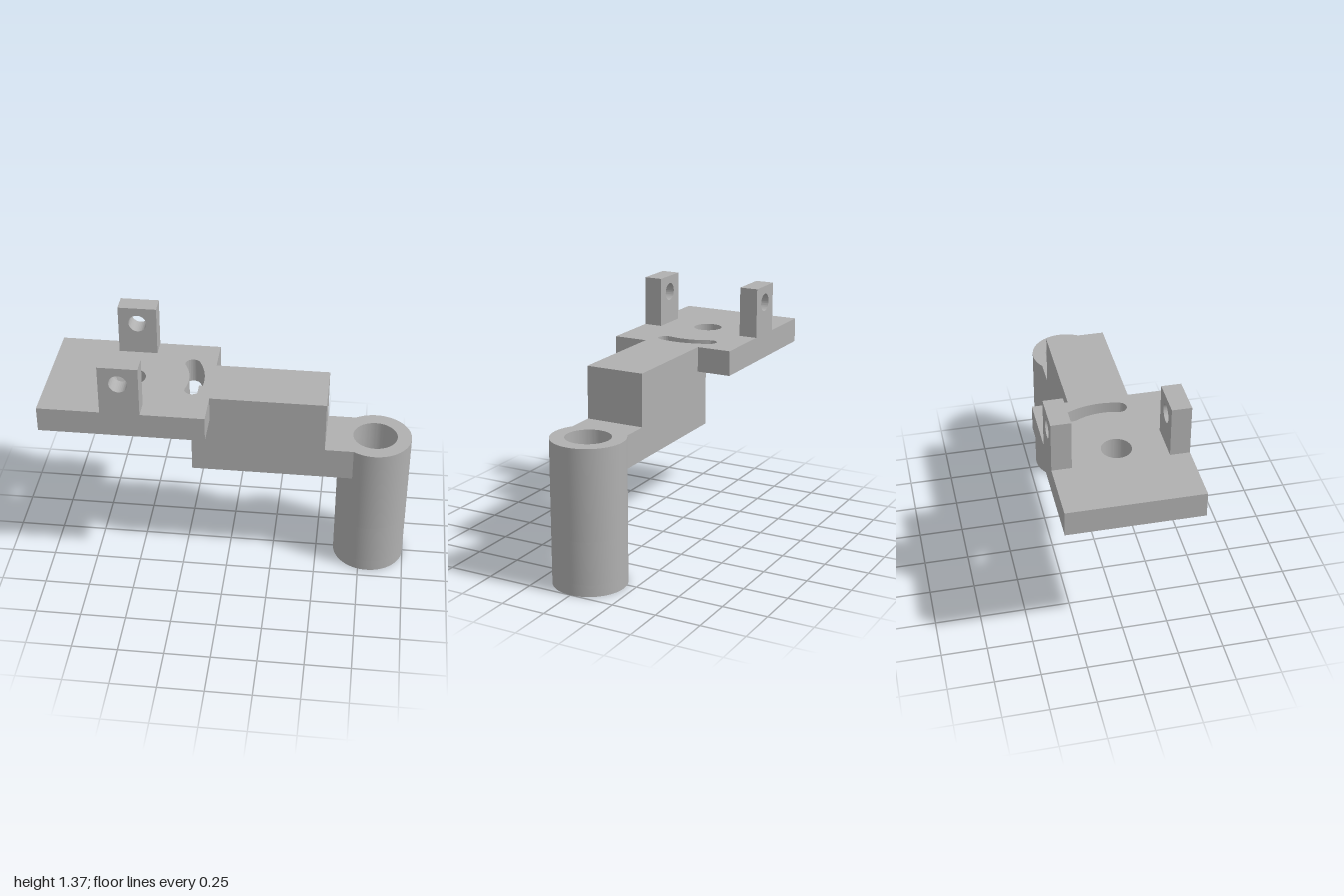
import * as THREE from 'three';
import { toCreasedNormals } from 'three/addons/utils/BufferGeometryUtils.js';

const deg = Math.PI / 180;

function circle(x, y, r) {
  return new THREE.Path().absarc(x, y, r, 0, Math.PI * 2, false);
}

function polygon(points) {
  return new THREE.Shape(points.map(([x, y]) => new THREE.Vector2(x, y)));
}

function rect(x0, x1, y0, y1) {
  return polygon([[x0, y0], [x1, y0], [x1, y1], [x0, y1]]);
}

// Extrusion along +z, smooth on curves and sharp on edges
function extrude(shape, depth) {
  const g = new THREE.ExtrudeGeometry(shape, { depth, bevelEnabled: false, curveSegments: 48 });
  return toCreasedNormals(g, 30 * deg);
}

// Plan shape (x, z) raised from y0 to y1
function slab(shape, y0, y1) {
  return extrude(shape, y1 - y0).rotateX(Math.PI / 2).translate(0, y1, 0);
}

// Curved slot around a centre, with round ends
function arcSlot(cx, cy, r, w, a0, a1) {
  const p = new THREE.Path();
  p.absarc(cx, cy, r + w, a0, a1, false);
  p.absarc(cx + r * Math.cos(a1), cy + r * Math.sin(a1), w, a1, a1 + Math.PI, false);
  p.absarc(cx, cy, r - w, a1, a0, true);
  p.absarc(cx + r * Math.cos(a0), cy + r * Math.sin(a0), w, a0 + Math.PI, a0 + 2 * Math.PI, false);
  return p;
}

export function createModel() {
  const model = new THREE.Group();
  const grey = new THREE.MeshStandardMaterial({ color: 0xb0b0b0 });
  grey.name = 'grey';

  const add = (name, geometry, parent = model) => {
    const mesh = new THREE.Mesh(geometry, grey);
    mesh.name = name;
    parent.add(mesh);
    return mesh;
  };

  // Mounting plate with pivot hole and curved adjustment slot
  const plate = rect(-1, -0.1, -0.36, 0.36);
  plate.holes.push(circle(-0.55, 0, 0.08));
  plate.holes.push(arcSlot(-0.55, 0, 0.36, 0.042, -28 * deg, 15 * deg));
  add('mountingPlate', slab(plate, 0.95, 1.09));

  // Upright lugs with cross holes
  for (const [name, z] of [['frontLug', 0.255], ['backLug', -0.36]]) {
    const lug = rect(-0.66, -0.445, 1.09, 1.37);
    lug.holes.push(circle(-0.5525, 1.275, 0.05));
    add(name, extrude(lug, 0.105).translate(0, 0, z));
  }

  // Deep arm block, stepped to sit under the plate
  const arm = polygon([[-0.2, 0.62], [0.53, 0.62], [0.53, 1.09], [-0.1, 1.09], [-0.1, 0.95], [-0.2, 0.95]]);
  add('armBlock', extrude(arm, 0.33).translate(0, 0, -0.165));

  // Low neck, hollowed to meet the post
  const reach = Math.asin(0.165 / 0.198);
  const neck = new THREE.Shape();
  neck.moveTo(0.53, 0.165);
  neck.lineTo(0.53, -0.165);
  neck.absarc(0.8, 0, 0.198, Math.PI + reach, Math.PI - reach, true);
  neck.closePath();
  add('neck', slab(neck, 0.62, 0.8));

  // Round post: hexagonal nut recess, bolt hole, wide bore
  const post = new THREE.Group();
  post.name = 'post';
  model.add(post);
  const hexagon = new THREE.Path(Array.from({ length: 6 }, (_, i) => new THREE.Vector2(
    0.8 + 0.14 * Math.cos(i * 60 * deg), 0.14 * Math.sin(i * 60 * deg))));
  const sections = [
    ['nutRecess', hexagon, 0, 0.065],
    ['boltHole', circle(0.8, 0, 0.08), 0.065, 0.3],
    ['bore', circle(0.8, 0, 0.122), 0.3, 0.8],
  ];
  for (const [name, hole, y0, y1] of sections) {
    const ring = new THREE.Shape().absarc(0.8, 0, 0.2, 0, Math.PI * 2, false);
    ring.holes.push(hole);
    add(name, slab(ring, y0, y1), post);
  }

  return model;
}
